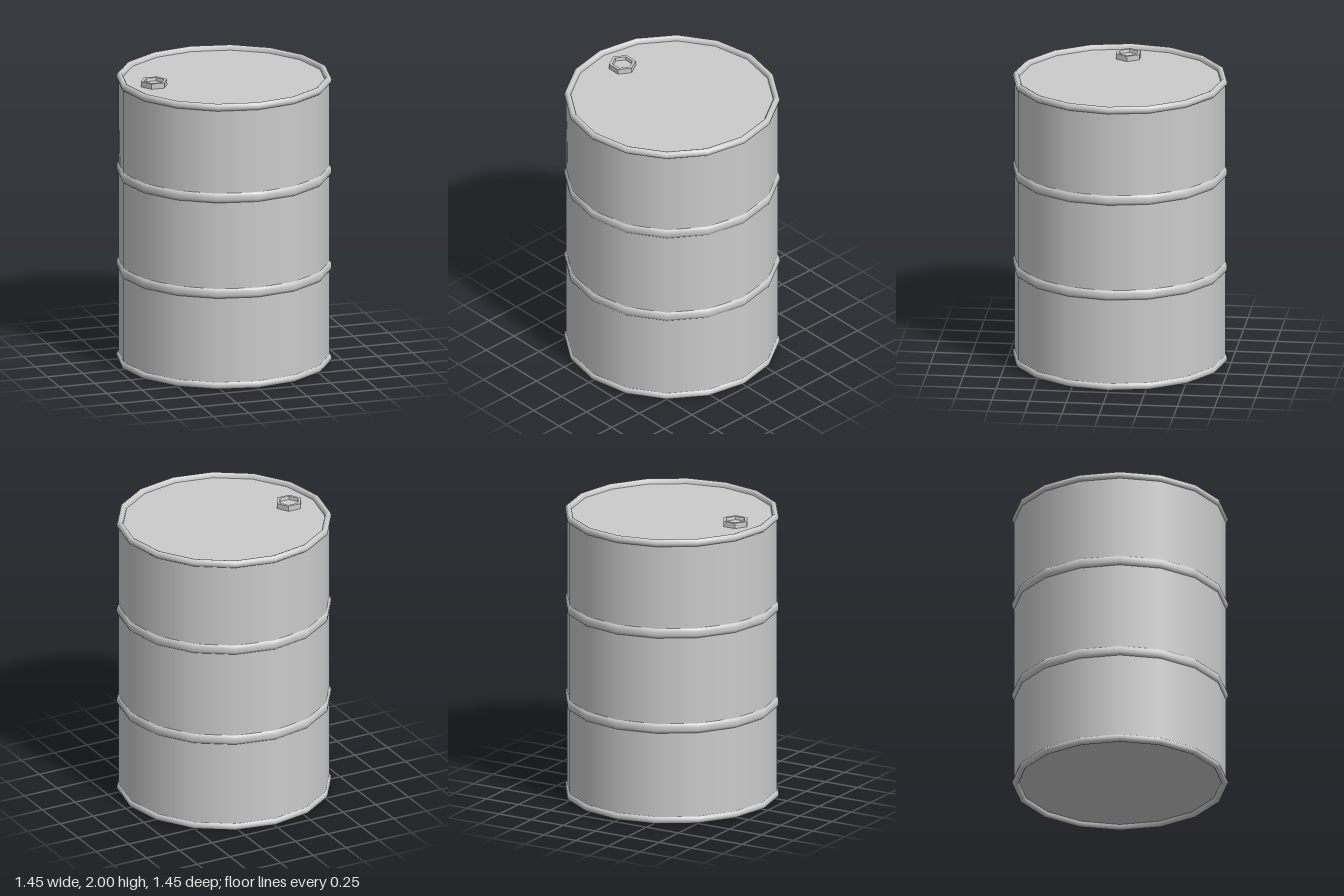
import * as THREE from 'three';

const SIDES = 16;
const WALL = 0.71;

function lathe(name, points, sides = SIDES, flat = false) {
  const profile = points.map(([r, y]) => new THREE.Vector2(r, y));
  const material = new THREE.MeshStandardMaterial({ color: 0xcccccc, flatShading: flat });
  const mesh = new THREE.Mesh(new THREE.LatheGeometry(profile, sides), material);
  mesh.name = name;
  return mesh;
}

// Rounded lip: y0 is the inner foot, dir +1 for the top edge and -1 for the bottom
function lip(edge, dir) {
  const at = (r, d) => [r, edge - dir * d];
  const points = [
    at(WALL, 0.05), at(0.72, 0.042), at(0.724, 0.025), at(0.717, 0.007),
    at(0.703, 0), at(0.69, 0.005), at(0.682, 0.016), at(0.68, 0.035),
  ];
  return dir > 0 ? points : points.reverse();
}

export function createModel() {
  const drum = new THREE.Group();
  drum.name = 'drum';

  // Side wall
  drum.add(lathe('wall', [[WALL, 0.05], [WALL, 1.945]]));

  // Two raised rolling hoops
  for (const [name, y] of [['lowerHoop', 0.67], ['upperHoop', 1.337]]) {
    drum.add(lathe(name, [
      [WALL - 0.002, y - 0.035], [0.717, y - 0.027], [0.723, y - 0.012],
      [0.723, y + 0.012], [0.717, y + 0.027], [WALL - 0.002, y + 0.035],
    ]));
  }

  // Rolled rims and the sunken end plates
  drum.add(lathe('topRim', lip(1.995, 1)));
  drum.add(lathe('bottomRim', lip(0, -1)));
  drum.add(lathe('lid', [[0.685, 1.963], [0, 1.963]]));
  drum.add(lathe('base', [[0, 0.032], [0.685, 0.032]]));

  // Hexagonal bung with a shallow socket
  const bung = lathe('bung', [
    [0.092, 1.96], [0.092, 2], [0.07, 2], [0.066, 1.978], [0, 1.978],
  ], 6, true);
  bung.rotation.y = Math.PI / 2;
  bung.position.x = -0.495;
  drum.add(bung);

  return drum;
}
